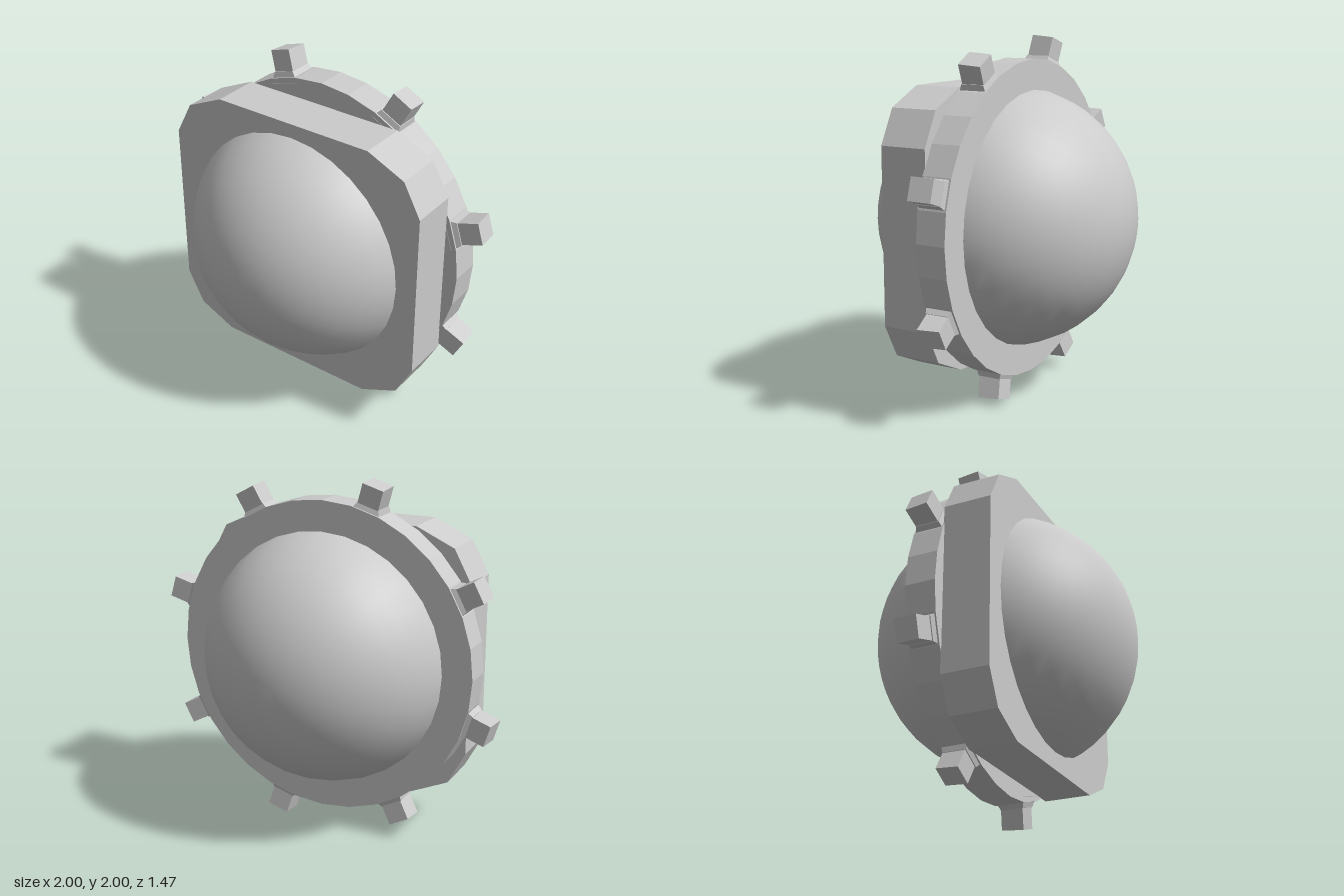
import * as THREE from 'three';

export function createModel() {
  const model = new THREE.Group();
  model.name = 'sphereWithToothedCollar';
  const smooth = new THREE.MeshStandardMaterial({ color: 0xcccccc });
  const flat = new THREE.MeshStandardMaterial({ color: 0xcccccc, flatShading: true });
  const centreY = 1.003;

  const add = (parent, name, geometry, material) => {
    const mesh = new THREE.Mesh(geometry, material);
    mesh.name = name;
    parent.add(mesh);
    return mesh;
  };

  // Core sphere, poles along z
  const sphereGeometry = new THREE.SphereGeometry(0.733, 32, 24).rotateX(Math.PI / 2);
  add(model, 'coreSphere', sphereGeometry, smooth).position.y = centreY;

  // Front plate: a square with two-step chamfered corners
  const corner = [[0.8, 0.48], [0.7, 0.667], [0.48, 0.767]];
  const reversed = [...corner].reverse();
  const outline = [
    ...corner,
    ...reversed.map(([x, y]) => [-x, y]),
    ...corner.map(([x, y]) => [-x, -y]),
    ...reversed.map(([x, y]) => [x, -y]),
  ].map(([x, y]) => new THREE.Vector2(x, y));
  const plateGeometry = new THREE.ExtrudeGeometry(new THREE.Shape(outline), {
    depth: 0.27, bevelEnabled: false,
  });
  add(model, 'frontPlate', plateGeometry, flat).position.set(0, centreY - 0.01, 0.01);

  // Round collar behind the plate
  const collarGeometry = new THREE.CylinderGeometry(0.885, 0.885, 0.172, 32).rotateX(Math.PI / 2);
  add(model, 'collar', collarGeometry, flat).position.set(0, centreY, -0.073);

  // Tapered foot: a box whose outer end (+y) is narrowed
  const footGeometry = new THREE.BoxGeometry(0.18, 0.06, 0.172);
  const p = footGeometry.attributes.position;
  for (let i = 0; i < p.count; i++) {
    if (p.getY(i) > 0) p.setXYZ(i, p.getX(i) * 0.72, p.getY(i), p.getZ(i) * 0.78);
  }
  const blockGeometry = new THREE.BoxGeometry(0.124, 0.145, 0.13);

  // Eight teeth around the collar, each leaning slightly back
  for (let i = 0; i < 8; i++) {
    const tooth = new THREE.Group();
    tooth.name = `tooth${i + 1}`;
    tooth.position.set(0, centreY, -0.072);
    tooth.rotation.z = THREE.MathUtils.degToRad(17 + i * 45 - 90);
    add(tooth, 'toothFoot', footGeometry, flat).position.y = 0.88;
    const block = add(tooth, 'toothBlock', blockGeometry, flat);
    block.position.set(0, 0.951, -0.007);
    block.rotation.x = THREE.MathUtils.degToRad(-5);
    model.add(tooth);
  }

  return model;
}
